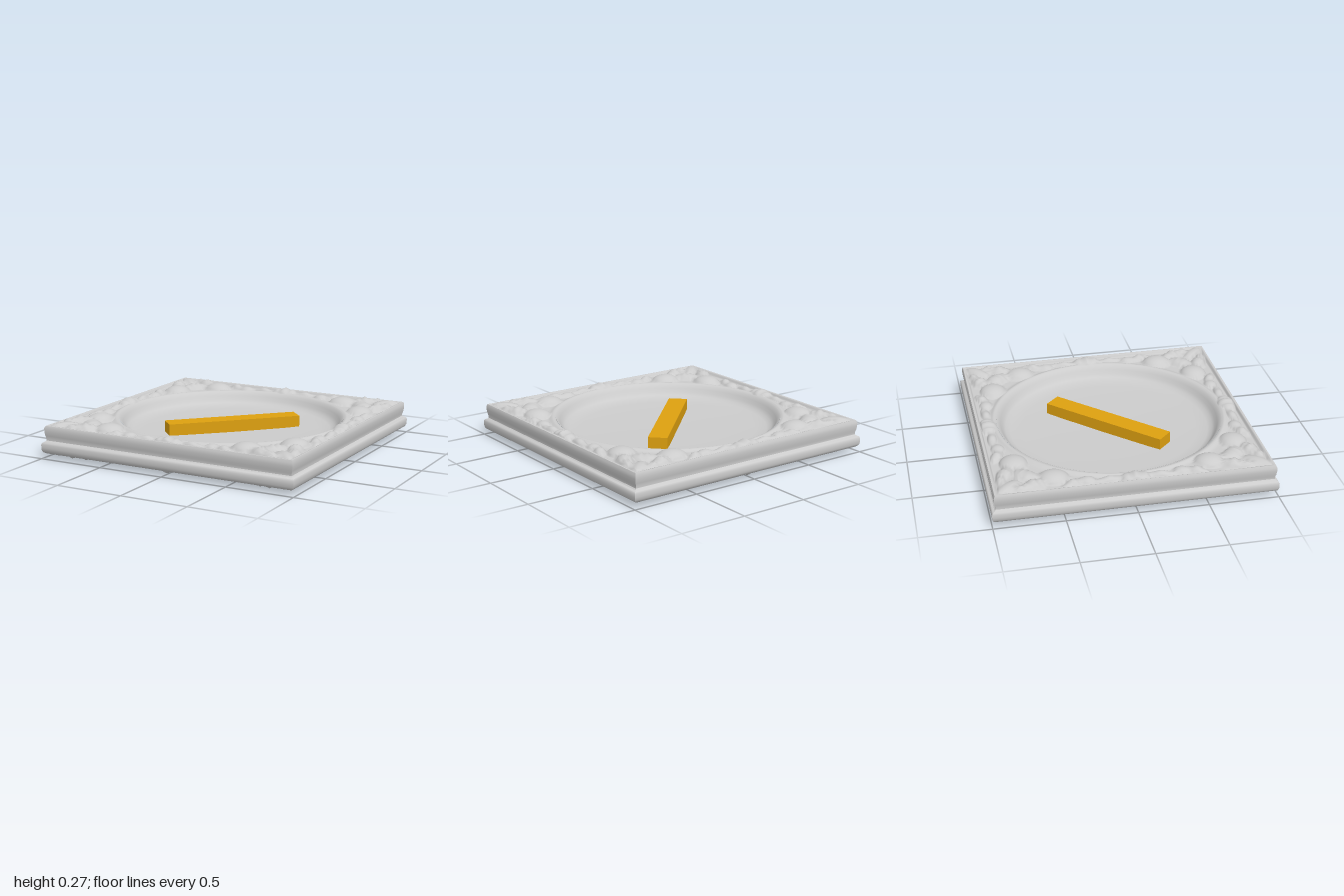
import * as THREE from 'three';
import { toCreasedNormals } from 'three/addons/utils/BufferGeometryUtils.js';

const grey = new THREE.MeshStandardMaterial({ color: 0xcccccc });
const amber = new THREE.MeshStandardMaterial({ color: 0xdda010 });

// Carved motifs in one eighth of the frame: [across, along, radius, radius, turn, height, flutes]
const MOTIFS = [
  [0.79, 0.55, 0.10, 0.11, 0, 0.05, 0],       // large bud
  [0.88, 0.87, 0.05, 0.13, 0.78, 0.04, 0],    // corner leaf
  [0.87, 0.70, 0.06, 0.09, 0.4, 0.055, 3],    // curled leaf
  [0.75, 0.72, 0.07, 0.08, -0.6, 0.045, 3],   // inner leaf
  [0.91, 0.79, 0.04, 0.06, 0, 0.045, 2],      // small leaf
  [0.89, 0.43, 0.04, 0.08, 0.5, 0.035, 2],    // trailing leaf
  [0.87, 0.33, 0.05, 0.06, 0, 0.028, 0],      // small bud
  [0.89, 0.18, 0.035, 0.11, 0.1, 0.03, 2],    // clasp wing
  [0.90, 0.00, 0.07, 0.11, 0, 0.048, 3],      // clasp
];

// Carving relief over the plain frame face
function relief(x, z) {
  const a = Math.max(Math.abs(x), Math.abs(z));
  const b = Math.min(Math.abs(x), Math.abs(z));
  let h = 0;
  for (const [ca, cb, ra, rb, turn, top, flutes] of MOTIFS) {
    const c = Math.cos(turn), s = Math.sin(turn);
    const u = ((a - ca) * c - (b - cb) * s) / ra;
    const v = ((a - ca) * s + (b - cb) * c) / rb;
    const d = u * u + v * v;
    if (d < 1) h = Math.max(h, top * Math.pow(1 - d, 0.6) * (flutes ? 0.85 + 0.15 * Math.cos(v * flutes * Math.PI) : 1));
  }
  // raised lip round the outside, raised bead round the opening
  const lip = 0.022 * THREE.MathUtils.smoothstep(a, 0.945, 0.96);
  const bead = 0.015 * Math.exp(-Math.pow((Math.hypot(x, z) - 0.85) / 0.025, 2));
  const fade = 1 - THREE.MathUtils.smoothstep(a, 0.94, 0.965);
  return Math.max(h * fade, lip, bead);
}

// Face between a round opening and the square edge; up is +1 for top, -1 for bottom
function carvedFace(inner, half, y, up) {
  const around = 320, rings = 44, pos = [], index = [];
  for (let j = 0; j <= rings; j++) {
    for (let i = 0; i <= around; i++) {
      const t = (i / around) * Math.PI * 2, c = Math.cos(t), s = Math.sin(t);
      const edge = half / Math.max(Math.abs(c), Math.abs(s));
      const r = inner + (edge - inner) * (j / rings);
      const x = r * c, z = r * s;
      pos.push(x, y + up * relief(x, z), z);
      if (j < rings && i < around) {
        const p = j * (around + 1) + i, q = p + around + 1;
        if (up > 0) index.push(p, p + 1, q, q, p + 1, q + 1);
        else index.push(p, q, p + 1, q, q + 1, p + 1);
      }
    }
  }
  const g = new THREE.BufferGeometry();
  g.setAttribute('position', new THREE.Float32BufferAttribute(pos, 3));
  g.setIndex(index);
  g.computeVertexNormals();
  return g;
}

const lathe = (points, sides) =>
  new THREE.LatheGeometry(points.map(([r, y]) => new THREE.Vector2(r, y)), sides);

export function createModel() {
  const model = new THREE.Group();
  const add = (name, geometry, material = grey) => {
    const mesh = new THREE.Mesh(geometry, material);
    mesh.name = name;
    model.add(mesh);
    return mesh;
  };

  // Square side moulding: rounded flange below, upright band above
  const profile = [
    [0.955, 0.034], [0.975, 0.04], [0.99, 0.05], [0.998, 0.065], [1, 0.085], [1, 0.108], [0.994, 0.12],
    [0.98, 0.127], [0.972, 0.135], [0.972, 0.15], [0.978, 0.17], [0.982, 0.2], [0.982, 0.225], [0.975, 0.242],
  ].map(([half, y]) => [half * Math.SQRT2, y]);
  const moulding = lathe(profile, 4);
  moulding.rotateY(Math.PI / 4);
  add('sideMoulding', toCreasedNormals(moulding, 0.7));

  // Carved faces
  add('topCarving', carvedFace(0.83, 0.975, 0.22, 1));
  add('bottomCarving', carvedFace(0.79, 0.955, 0.056, -1));

  // Round recess seen from above, and its underside
  add('dish', lathe([
    [0.83, 0.231], [0.815, 0.222], [0.8, 0.2], [0.785, 0.175], [0.765, 0.152],
    [0.73, 0.137], [0.65, 0.128], [0.4, 0.12], [0, 0.117],
  ], 96));
  add('dishUnderside', lathe([[0, 0.088], [0.74, 0.088], [0.765, 0.08], [0.78, 0.066], [0.79, 0.056]], 96));

  // Diagonal bar through the floor
  const bar = add('bar', new THREE.BoxGeometry(1, 0.125, 0.14), amber);
  bar.position.set(0.005, 0.1425, -0.01);
  bar.rotation.y = Math.PI / 4;
  return model;
}
